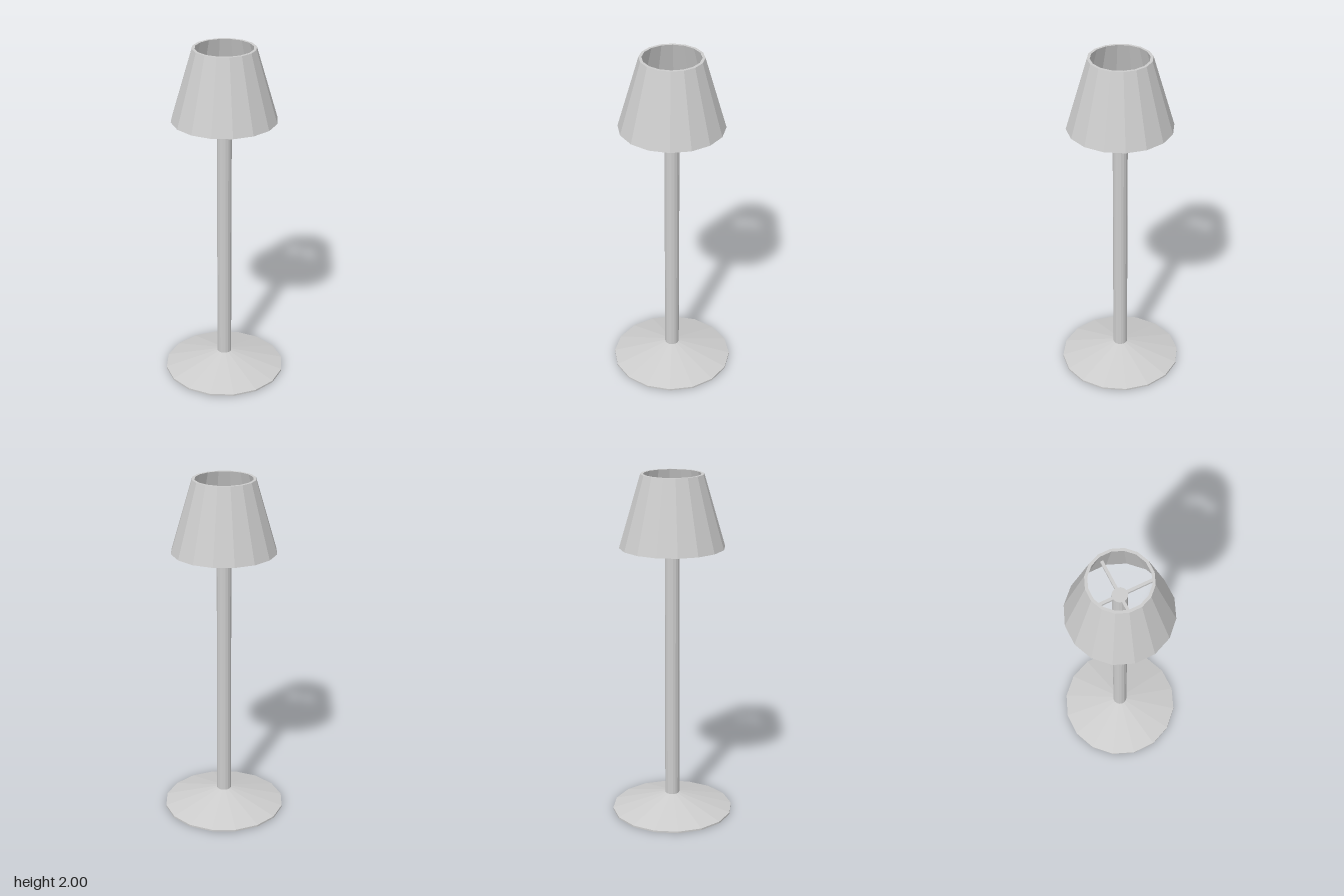
import * as THREE from 'three';

const SIDES = 16;

export function createModel() {
  const model = new THREE.Group();
  model.name = 'floorLamp';
  const grey = new THREE.MeshStandardMaterial({ color: 0xcccccc });
  grey.name = 'light grey';

  const add = (name, geometry, parent = model) => {
    // separate vertices per face give flat facets
    const flat = geometry.index ? geometry.toNonIndexed() : geometry;
    flat.computeVertexNormals();
    const mesh = new THREE.Mesh(flat, grey);
    mesh.name = name;
    parent.add(mesh);
    return mesh;
  };
  const lathe = (points) =>
    new THREE.LatheGeometry(points.map(([r, y]) => new THREE.Vector2(r, y)), SIDES);

  // Shallow conical foot with a thin rim
  add('base', lathe([[0, 0], [0.354, 0], [0.354, 0.01], [0.042, 0.1], [0, 0.1]]));

  // Pole reaching up into the shade
  const poleTop = 1.82;
  const poleRadius = 0.042;
  const pole = add('pole', new THREE.CylinderGeometry(poleRadius, poleRadius, poleTop - 0.09, SIDES));
  pole.position.y = (poleTop + 0.09) / 2;

  // Hollow tapered shade: outer wall, top rim, inner wall, bottom rim
  add('shade', lathe([[0.28, 1.59], [0.298, 1.59], [0.177, 2], [0.161, 2], [0.28, 1.59]]));

  // Four spokes, each growing from one face of the pole to the shade wall
  const spokes = new THREE.Group();
  spokes.name = 'shadeSupports';
  model.add(spokes);
  const width = 2 * poleRadius * Math.sin(Math.PI / SIDES);
  const start = poleRadius * Math.cos(Math.PI / SIDES);
  const end = 0.213;
  for (let i = 0; i < 4; i++) {
    const geometry = new THREE.BoxGeometry(end - start, 0.016, width);
    geometry.translate((start + end) / 2, poleTop - 0.008, 0);
    geometry.rotateY(Math.PI / SIDES + (i * Math.PI) / 2);
    add('spoke', geometry, spokes);
  }

  return model;
}
